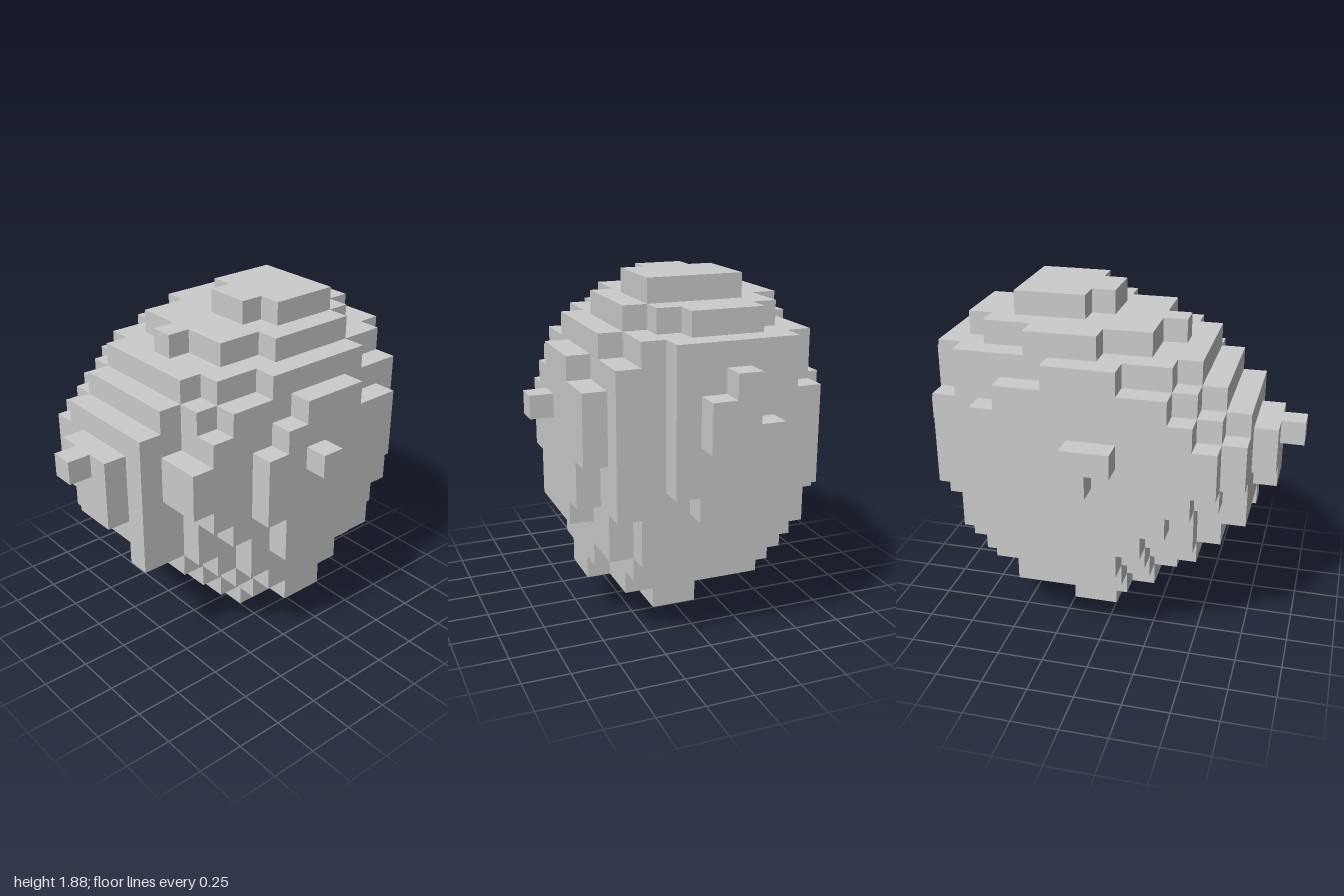
import * as THREE from 'three';

const U = 0.125; // edge of one cube

// Each layer lists blocks as [x0, x1, z0, z1], in cubes
const stalkLayers = {
  0: [[-1, 1, -2, 0]],
  1: [[-1, 1, -1, 0], [-1, 0, -2, -1]],
};
const bodyLayers = {
  2: [[-3, 3, -4, 1], [-2, 2, 1, 2], [3, 4, -2, 0]],
  3: [[-3, 3, -5, 2], [-2, 2, 2, 3], [-4, 4, -3, 1]],
  4: [[-3, 3, -6, 3], [-3, 2, 3, 4], [-4, 4, -5, 2], [-5, 4, -3, 1]],
  5: [[-3, 2, -6, 5], [1, 2, 5, 6], [-4, 3, -6, 4], [-5, 4, -4, 2], [-4, 4, -5, 2], [4, 5, -3, 1]],
  6: [[-3, 2, -6, 6], [-3, 1, -7, -6], [-4, 3, -6, 4], [-4, 4, -6, 3], [-5, 4, -5, 3], [4, 5, -4, 1]],
  7: [[-3, 2, -7, 6], [-4, 2, -7, 5], [-4, 4, -6, 4], [-5, 4, -5, 4], [4, 5, -4, 2]],
  8: [[-4, 2, -7, 6], [-4, 4, -6, 5], [-5, 4, -5, 5], [4, 5, -5, 2]],
  9: [[-4, 2, -7, 6], [-4, 4, -6, 5], [-5, 4, -5, 5], [4, 5, -5, 2]],
  10: [[-3, 2, -7, 6], [-4, 2, -7, 5], [-4, 4, -6, 4], [-5, 4, -5, 4], [4, 5, -5, 1]],
  11: [[-3, 2, -7, 5], [-4, 3, -6, 4], [-4, 4, -6, 3], [-5, 4, -4, 3], [4, 5, -3, 0]],
  12: [[-3, 2, -7, 4], [-4, 3, -6, 3], [-4, 4, -4, 1], [-5, 4, -2, 1]],
  13: [[-2, 1, -6, -5], [-3, 2, -5, 2], [-3, 3, -4, 0], [-4, 3, -3, 0], [-1, 0, 2, 3]],
};
const capLayers = { 14: [[-2, 2, -4, -1], [-1, 1, -1, 0]] };
const frontStudLayers = {
  7: [[-1, 1, 6, 7]],
  8: [[-2, 1, 6, 7]],
  9: [[-2, 1, 6, 7], [-1, 0, 7, 8]],
};
const backStudLayers = {
  9: [[-2, 1, -8, -7]],
  10: [[-1, 1, -8, -7]],
  11: [[-1, 0, -8, -7]],
};
const leftStudLayers = { 9: [[5, 6, -1, 0]] };
const rightStudLayers = { 8: [[-6, -5, -1, 0]], 9: [[-6, -5, -1, 1]] };

// Fill the cubes of a part, then keep only the faces with no neighbour
function cubeGeometry(layers) {
  const filled = new Map();
  for (const [y, blocks] of Object.entries(layers)) {
    for (const [x0, x1, z0, z1] of blocks) {
      for (let x = x0; x < x1; x++) {
        for (let z = z0; z < z1; z++) filled.set([x, +y, z].join(), [x, +y, z]);
      }
    }
  }
  const positions = [];
  for (const cell of filled.values()) {
    for (let d = 0; d < 3; d++) {
      for (const s of [-1, 1]) {
        const next = cell.slice();
        next[d] += s;
        if (filled.has(next.join())) continue;
        const corners = [[0, 0], [1, 0], [1, 1], [0, 1]].map(([a, b]) => {
          const p = cell.slice();
          if (s > 0) p[d] += 1;
          p[(d + 1) % 3] += a;
          p[(d + 2) % 3] += b;
          return p.map((v) => v * U);
        });
        if (s < 0) corners.reverse();
        for (const i of [0, 1, 2, 0, 2, 3]) positions.push(...corners[i]);
      }
    }
  }
  const geometry = new THREE.BufferGeometry();
  geometry.setAttribute('position', new THREE.Float32BufferAttribute(positions, 3));
  geometry.computeVertexNormals();
  return geometry;
}

export function createModel() {
  const group = new THREE.Group();
  group.name = 'blockyBoulder';
  const material = new THREE.MeshStandardMaterial({ color: 0xcccccc, flatShading: true });
  const parts = {
    stalk: stalkLayers,
    body: bodyLayers,
    cap: capLayers,
    frontStud: frontStudLayers,
    backStud: backStudLayers,
    leftStud: leftStudLayers,
    rightStud: rightStudLayers,
  };
  for (const [name, layers] of Object.entries(parts)) {
    const mesh = new THREE.Mesh(cubeGeometry(layers), material);
    mesh.name = name;
    group.add(mesh);
  }
  return group;
}
